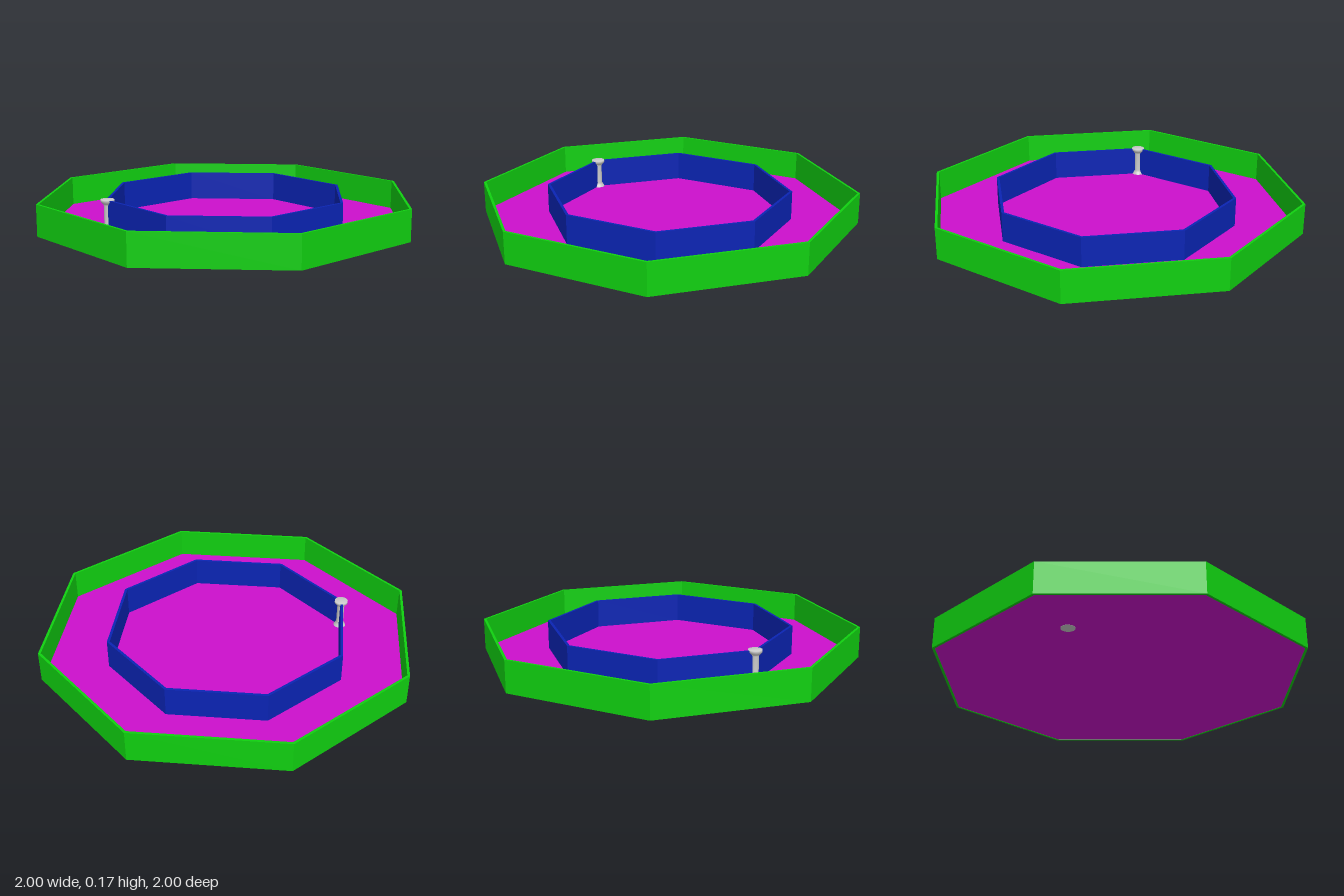
import * as THREE from 'three';

const SIDES = 8;

// Octagon outline with corners on the x and z axes
function octagon(radius, Kind = THREE.Shape) {
  const points = [];
  for (let i = 0; i < SIDES; i++) {
    const a = (i / SIDES) * Math.PI * 2;
    points.push(new THREE.Vector2(Math.cos(a) * radius, Math.sin(a) * radius));
  }
  return new Kind(points);
}

// Upright octagonal slab or, with an inner radius, an octagonal wall
function octagonPart(name, color, outer, inner, bottom, top) {
  const shape = octagon(outer);
  if (inner) shape.holes.push(octagon(inner, THREE.Path));
  const geometry = new THREE.ExtrudeGeometry(shape, { depth: top - bottom, bevelEnabled: false });
  geometry.rotateX(-Math.PI / 2).translate(0, bottom, 0);
  const mesh = new THREE.Mesh(geometry, new THREE.MeshStandardMaterial({ color, flatShading: true }));
  mesh.name = name;
  return mesh;
}

export function createModel() {
  const group = new THREE.Group();
  group.name = 'octagonalTray';

  group.add(
    octagonPart('outerWall', 0x10d010, 1, 0.986, 0, 0.165),
    octagonPart('floor', 0xcc10cc, 0.988, 0, 0.002, 0.01),
    octagonPart('innerWall', 0x0a24b4, 0.65, 0.635, 0.005, 0.164)
  );

  // Spool-shaped pin on the corner of the inner wall, flared at both ends
  const profile = [
    [0, 0], [0.036, 0], [0.036, 0.004], [0.026, 0.022], [0.019, 0.034],
    [0.019, 0.136], [0.026, 0.146], [0.035, 0.156], [0.035, 0.168], [0, 0.168],
  ].map(([r, y]) => new THREE.Vector2(r, y));
  const pin = new THREE.Mesh(
    new THREE.LatheGeometry(profile, 32),
    new THREE.MeshStandardMaterial({ color: 0xcccccc })
  );
  pin.name = 'cornerPin';
  pin.position.x = -0.64;
  group.add(pin);

  return group;
}
